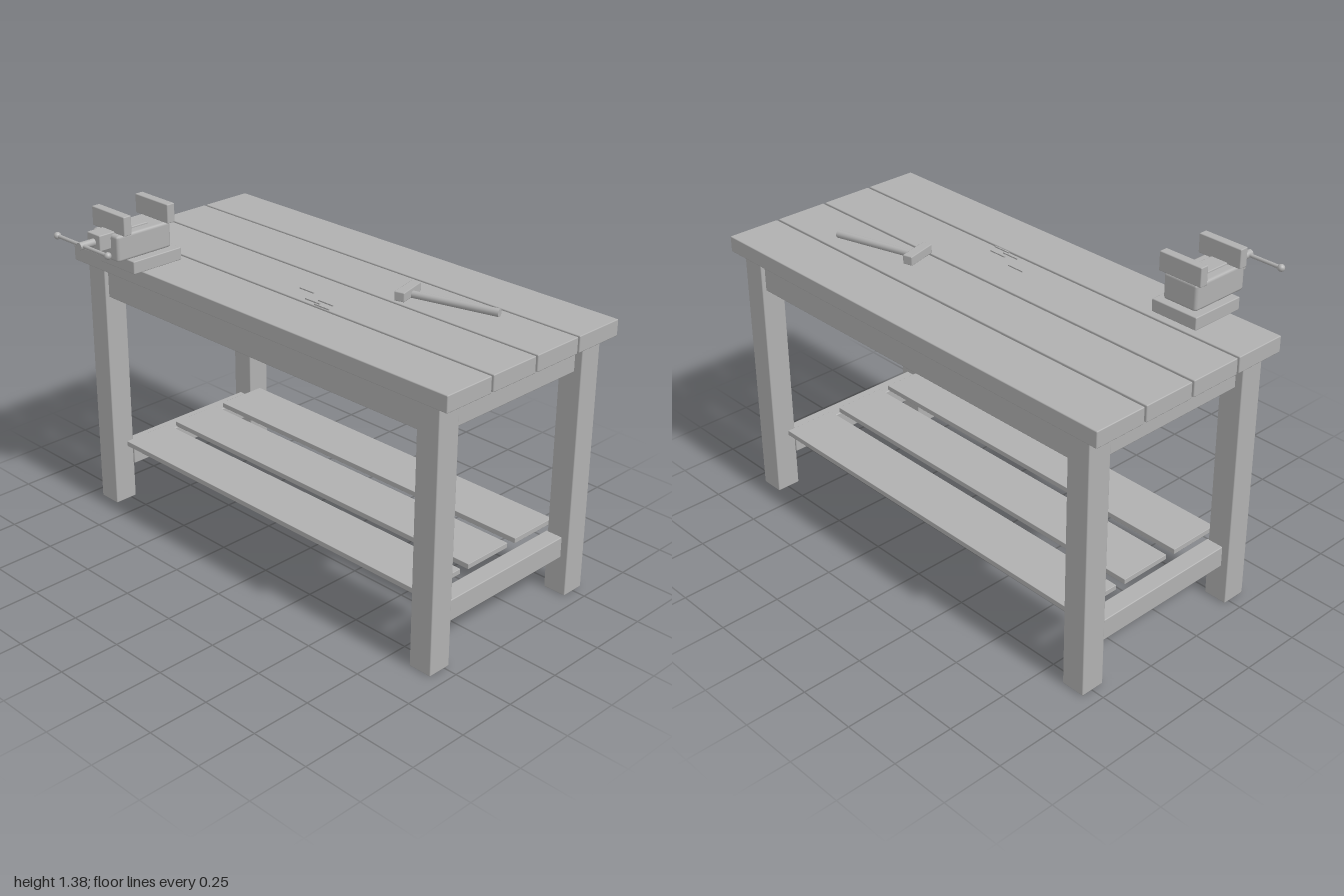
import * as THREE from 'three';
import { RoundedBoxGeometry } from 'three/addons/geometries/RoundedBoxGeometry.js';

export function createModel() {
  const bench = new THREE.Group();
  bench.name = 'workbench';
  const grey = new THREE.MeshStandardMaterial({ color: 0xb0b0b0 });
  grey.name = 'plain grey';

  const add = (parent, name, geometry, x, y, z) => {
    const mesh = new THREE.Mesh(geometry, grey);
    mesh.name = name;
    mesh.position.set(x, y, z);
    parent.add(mesh);
    return mesh;
  };
  // Softly bevelled block given by its extents on each axis
  const block = (parent, name, [x0, x1], [y0, y1], [z0, z1], r = 0.004) =>
    add(parent, name, new RoundedBoxGeometry(x1 - x0, y1 - y0, z1 - z0, 1, r),
      (x0 + x1) / 2, (y0 + y1) / 2, (z0 + z1) / 2);
  const mirrored = (s, a, b) => (s > 0 ? [a, b] : [-b, -a]);

  // Four top planks
  for (let i = 0; i < 4; i++) {
    const z = 0.355 - i * 0.2345;
    block(bench, 'topPlank', [-1, 1], [1.072, 1.138], [z - 0.225, z]);
  }

  // Legs, end aprons and low end stretchers
  for (const s of [-1, 1]) {
    const legX = mirrored(s, 0.845, 0.945);
    block(bench, 'frontLeg', legX, [0, 1.072], [0.226, 0.328]);
    block(bench, 'backLeg', legX, [0, 1.072], [-0.548, -0.446]);
    const railX = mirrored(s, 0.837, 0.913);
    block(bench, 'endApron', railX, [0.94, 1.072], [-0.45, 0.23]);
    block(bench, 'endStretcher', railX, [0.158, 0.247], [-0.45, 0.23]);
  }
  // Long aprons
  block(bench, 'frontApron', [-0.85, 0.85], [0.94, 1.072], [0.235, 0.31]);
  block(bench, 'backApron', [-0.85, 0.85], [0.94, 1.072], [-0.53, -0.455]);

  // Three shelf planks
  for (let i = 0; i < 3; i++) {
    const z = 0.271 - i * 0.2685;
    block(bench, 'shelfPlank', [-0.83, 0.83], [0.259, 0.281], [z - 0.224, z], 0.002);
  }

  // Vise: base, body, slide, two jaws
  const vise = new THREE.Group();
  vise.name = 'vise';
  bench.add(vise);
  block(vise, 'viseBase', [-0.772, -0.562], [1.138, 1.19], [0.16, 0.398]);
  block(vise, 'viseBody', [-0.745, -0.59], [1.19, 1.297], [0.186, 0.45], 0.012);
  block(vise, 'viseSlide', [-0.707, -0.63], [1.24, 1.304], [0.263, 0.503]);
  for (const z of [0.18, 0.393])
    block(vise, 'viseJaw', [-0.766, -0.57], [1.297, 1.375], [z, z + 0.037]);

  // Vise screw and turning bar with end knobs
  const screw = add(vise, 'viseScrew', new THREE.CylinderGeometry(0.015, 0.015, 0.075, 16), -0.668, 1.27, 0.535);
  screw.rotation.x = Math.PI / 2;
  const bar = add(vise, 'viseBar', new THREE.CylinderGeometry(0.0075, 0.0075, 0.312, 12), -0.668, 1.27, 0.557);
  bar.rotation.z = Math.PI / 2;
  for (const s of [-1, 1])
    add(vise, 'viseBarKnob', new THREE.SphereGeometry(0.0145, 16, 10), -0.668 + s * 0.156, 1.27, 0.557);

  // Hammer lying on the top
  const hammer = new THREE.Group();
  hammer.name = 'hammer';
  hammer.position.set(0.331, 1.138, -0.179);
  hammer.rotation.y = 0.26;
  bench.add(hammer);
  block(hammer, 'hammerHead', [-0.021, 0.021], [0.008, 0.046], [-0.068, 0.068]);
  const handle = add(hammer, 'hammerHandle', new THREE.CylinderGeometry(0.016, 0.014, 0.375, 16), 0.187, 0.019, 0);
  handle.rotation.z = -Math.PI / 2;

  // Small nails lying on the top
  for (const [x, z] of [[0.02, 0.04], [0.158, 0.078], [0.112, 0.1], [0.175, 0.115]])
    add(bench, 'nail', new THREE.BoxGeometry(0.077, 0.005, 0.005), x, 1.1405, z);

  return bench;
}
